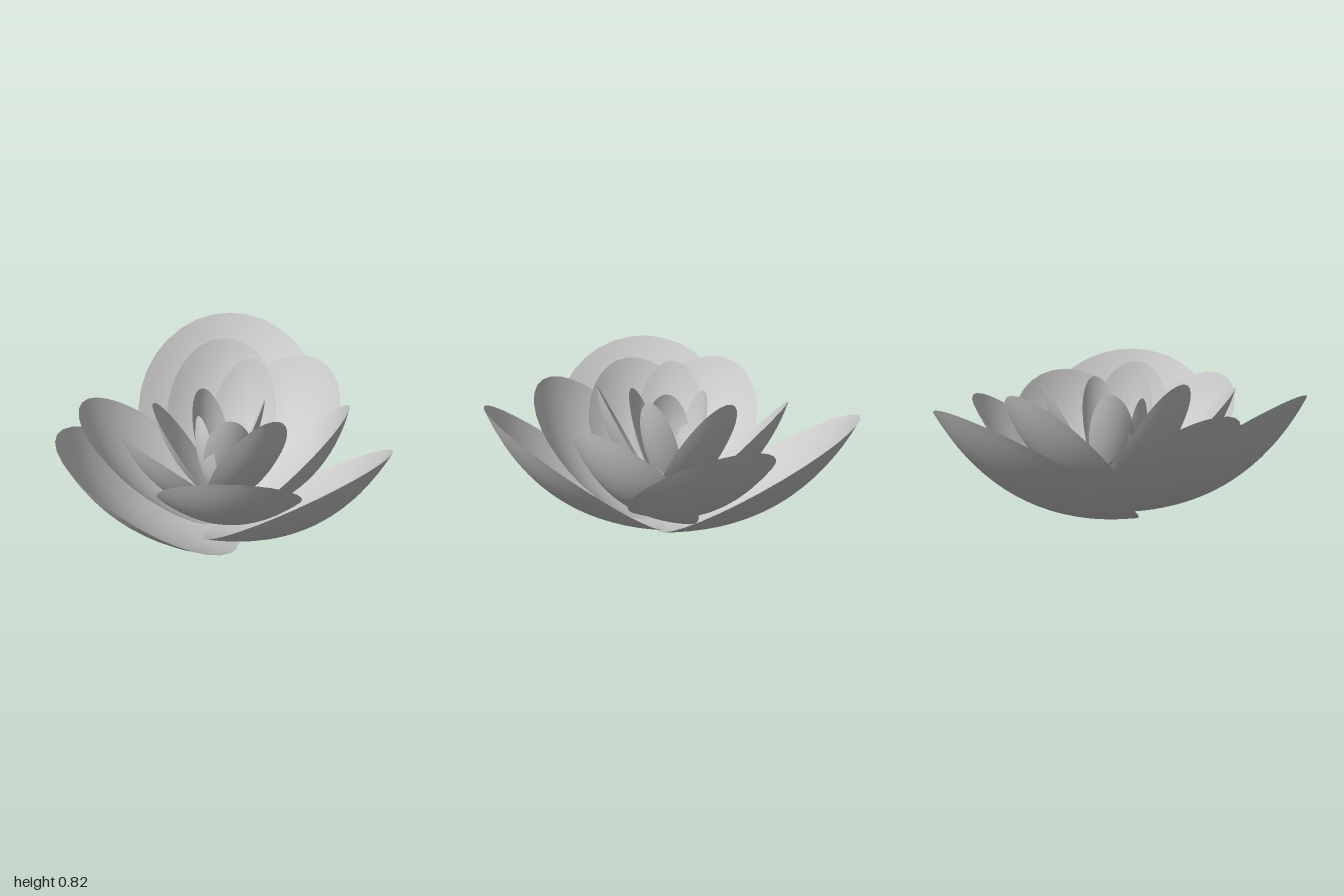
import * as THREE from 'three';
import { mergeVertices } from 'three/addons/utils/BufferGeometryUtils.js';

const material = new THREE.MeshStandardMaterial({ color: 0xcccccc, side: THREE.DoubleSide });

// One cupped oval petal between a base and a tip; the rim is flat, the middle bulges outward.
function petal(name, base, tip, halfWidth, roll = 0, cup = 0.35) {
  const b = new THREE.Vector3(...base), t = new THREE.Vector3(...tip);
  const along = t.clone().sub(b);
  const halfLength = along.length() / 2;
  along.normalize();
  const side = new THREE.Vector3(-along.z, 0, along.x).normalize().applyAxisAngle(along, -roll);
  const inward = side.clone().cross(along);

  const geo = new THREE.RingGeometry(0, 1, 32, 10);
  const pos = geo.attributes.position;
  for (let i = 0; i < pos.count; i++) {
    const x = pos.getX(i), y = pos.getY(i);
    const bulge = cup * halfWidth * (1 - x * x - y * y);
    pos.setXYZ(i, x * halfWidth, y * halfLength, -bulge);
  }
  geo.applyMatrix4(new THREE.Matrix4().makeBasis(side, along, inward)
    .setPosition(b.add(t).multiplyScalar(0.5)));
  geo.deleteAttribute('uv');
  geo.deleteAttribute('normal');
  const smooth = mergeVertices(geo, 1e-5);
  smooth.computeVertexNormals();
  const mesh = new THREE.Mesh(smooth, material);
  mesh.name = name;
  return mesh;
}

// Whorls from the outside in: base, tip, half width, roll
const whorls = {
  outerPetal: [
    [[-0.02, 0.01, -0.04], [-0.22, 0.75, 0.98], 0.53, 0.17],
    [[-0.04, 0.0, -0.06], [-0.82, 0.74, -0.83], 0.555],
    [[0.0, 0.01, -0.06], [0.975, 0.78, -0.07], 0.54],
  ],
  middlePetal: [
    [[-0.04, 0.02, -0.05], [-0.63, 0.71, 0.54], 0.38, 0.03],
    [[-0.08, 0.02, -0.05], [-0.11, 0.69, -0.86], 0.4],
    [[-0.02, 0.02, -0.06], [0.5, 0.73, 0.48], 0.4],
  ],
  innerPetal: [
    [[-0.05, 0.03, -0.06], [-0.56, 0.78, -0.52], 0.35],
    [[-0.01, 0.03, -0.1], [0.46, 0.73, -0.5], 0.39, 0.2],
    [[-0.05, 0.04, -0.05], [-0.07, 0.75, 0.61], 0.335],
  ],
  heartPetal: [
    [[-0.06, 0.07, -0.07], [-0.24, 0.8, -0.45], 0.21, 0.1],
    [[-0.04, 0.07, -0.05], [0.33, 0.82, 0.02], 0.24],
    [[-0.06, 0.07, -0.05], [-0.24, 0.8, 0.33], 0.21, 0.2],
    [[-0.06, 0.14, -0.06], [0.11, 0.76, 0.08], 0.14],
    [[-0.08, 0.15, -0.07], [-0.28, 0.74, -0.06], 0.13],
  ],
  budPetal: [
    [[-0.07, 0.18, -0.08], [0.1, 0.77, -0.2], 0.12],
    [[-0.09, 0.18, 0.03], [-0.11, 0.69, 0.09], 0.13],
    [[-0.12, 0.2, -0.25], [-0.05, 0.5, 0.06], 0.13],
  ],
};

export function createModel() {
  const flower = new THREE.Group();
  flower.name = 'flower';
  for (const [name, petals] of Object.entries(whorls)) {
    const whorl = new THREE.Group();
    whorl.name = name + 's';
    for (const args of petals) whorl.add(petal(name, ...args));
    flower.add(whorl);
  }
  return flower;
}
